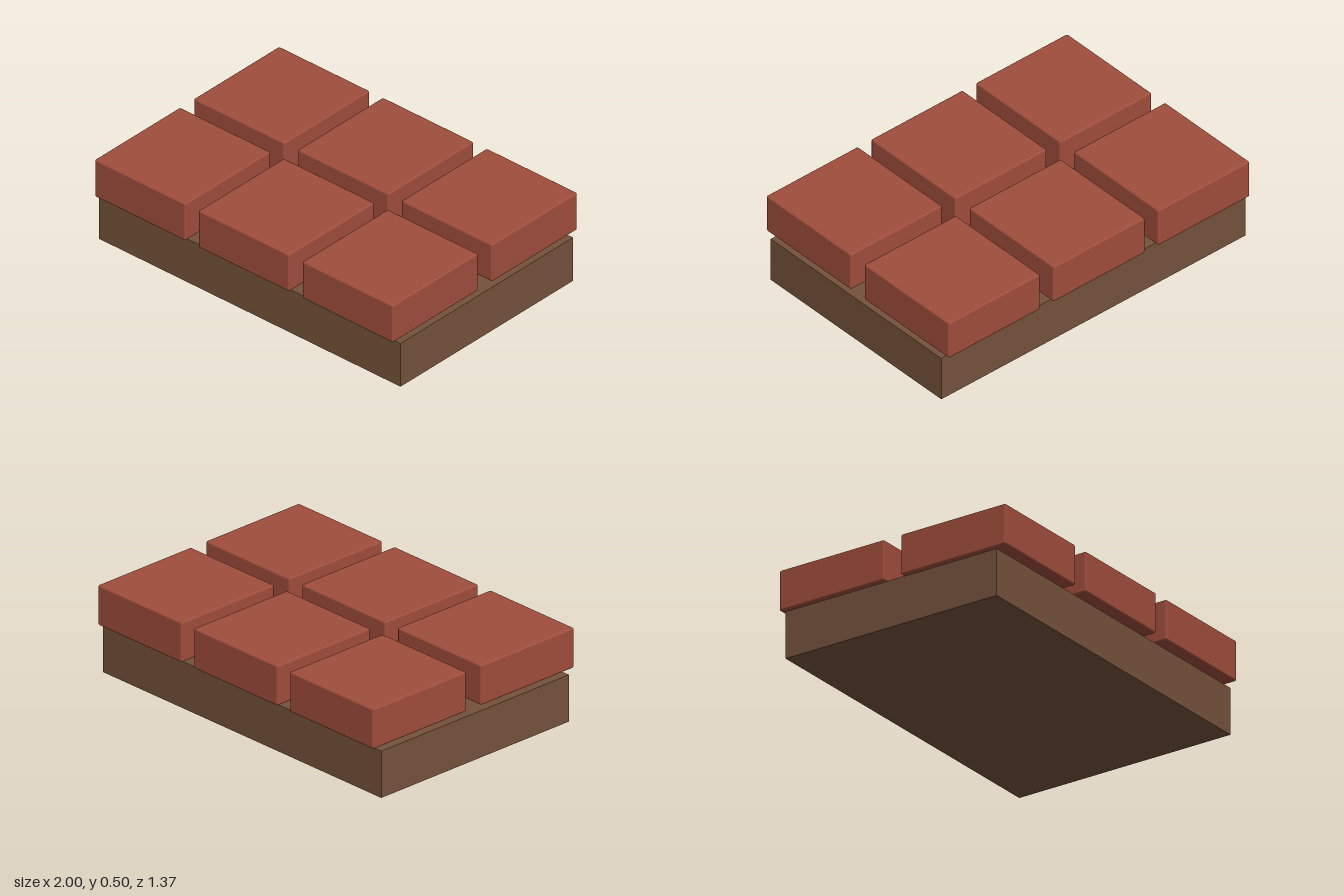
import * as THREE from 'three';
import { RoundedBoxGeometry } from 'three/addons/geometries/RoundedBoxGeometry.js';

export function createModel() {
  const model = new THREE.Group();
  model.name = 'brickTray';

  const brown = new THREE.MeshStandardMaterial({ color: 0x75523b });
  brown.name = 'brown';
  const brickRed = new THREE.MeshStandardMaterial({ color: 0xa04d3c });
  brickRed.name = 'brick red';

  // Slab underneath
  const base = new THREE.Mesh(new THREE.BoxGeometry(2, 0.256, 1.28), brown);
  base.name = 'base';
  base.position.y = 0.128;
  model.add(base);

  // Two rows of three bricks with softened edges, hovering just above the slab
  const brickGeometry = new RoundedBoxGeometry(0.602, 0.22, 0.635, 2, 0.01);
  const bricks = new THREE.Group();
  bricks.name = 'bricks';
  for (const z of [-0.368, 0.368]) {
    for (const x of [-0.689, 0, 0.689]) {
      const brick = new THREE.Mesh(brickGeometry, brickRed);
      brick.name = 'brick';
      brick.position.set(x, 0.386, z);
      bricks.add(brick);
    }
  }
  model.add(bricks);

  return model;
}
